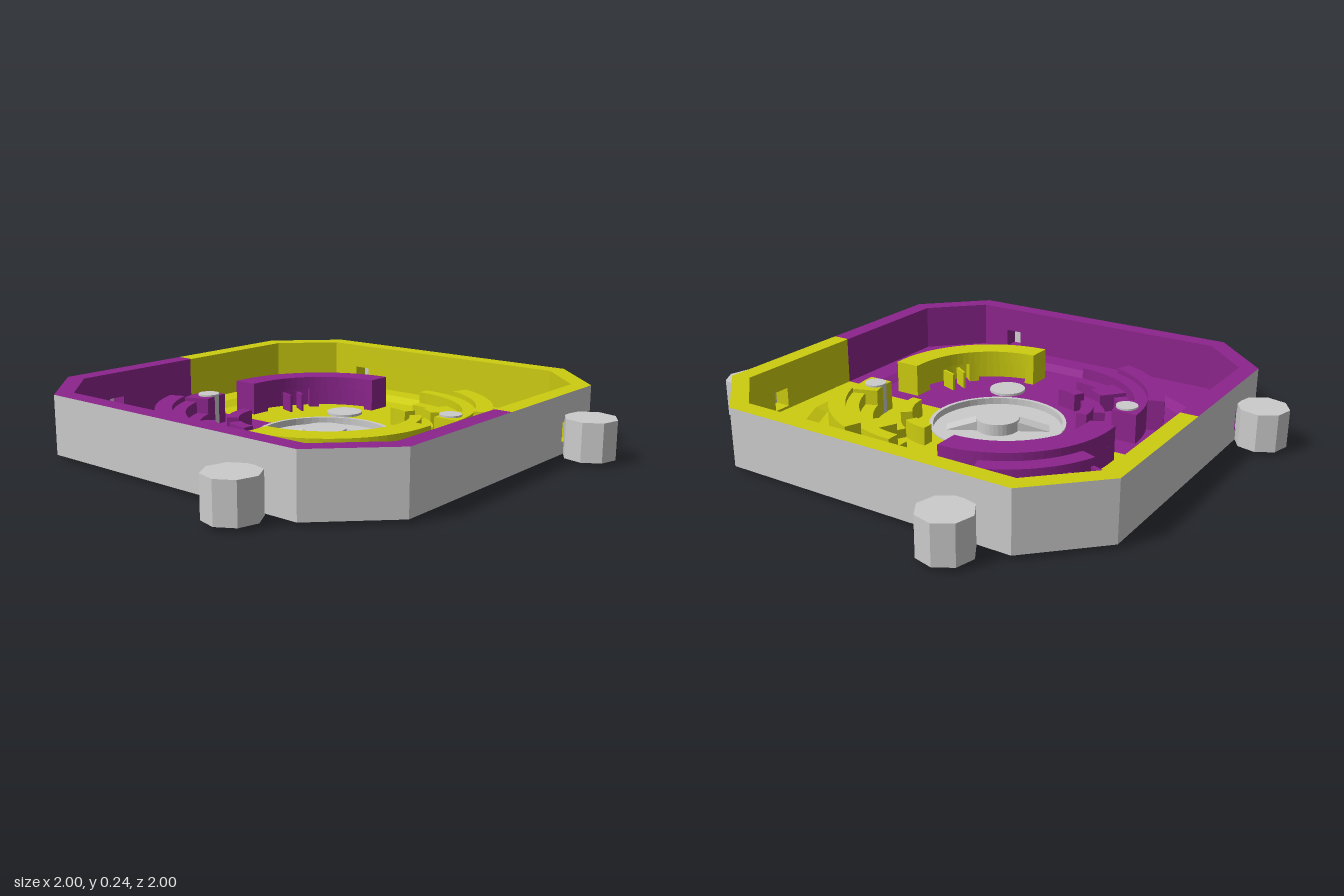
import * as THREE from 'three';

const mat = (color) => new THREE.MeshStandardMaterial({ color, flatShading: true, side: THREE.DoubleSide });
const grey = mat(0xcccccc), yellow = mat(0xcccc10), purple = mat(0x8c248c);
const RAD = Math.PI / 180;
const DISC = 0.265;

// Plan shapes use x right and y towards the back (-z).
const octagon = (a, b) => [[a, 0], [a, b], [b, a], [-b, a], [-a, b], [-a, 0]];
const OUTER = octagon(0.815, 0.58);
const INNER = octagon(0.748, 0.555);
const BASE = octagon(0.76, 0.56);
const BOWL = [[0.65, 0], [0.67, 0.2], [0.665, 0.3], [0.57, 0.5], [0.28, 0.675], [0.19, 0.655],
  [-0.27, 0.66], [-0.38, 0.61], [-0.53, 0.5], [-0.62, 0.4], [-0.65, 0.2], [-0.65, 0]];
const FLOOR = BOWL.map(([x, y]) => [x * 0.94, y * 0.94]);
const HOLE = Array.from({ length: 25 }, (_, i) =>
  [DISC * Math.cos(i * Math.PI / 24), DISC * Math.sin(i * Math.PI / 24)]);

function add(group, name, geometry, material) {
  const m = new THREE.Mesh(geometry, material);
  m.name = name;
  group.add(m);
  return m;
}

const toShape = (pts) => new THREE.Shape(pts.map(([x, y]) => new THREE.Vector2(x, y)));

// Flat half ring between two half outlines
function halfRing(group, name, outer, inner, y, material) {
  const g = new THREE.ShapeGeometry(toShape([...outer, ...[...inner].reverse()]));
  add(group, name, g.rotateX(-Math.PI / 2).translate(0, y, 0), material);
}

// Sloping strip between two outlines with the same number of points
function strip(group, name, a, ya, b, yb, material) {
  const pos = [], idx = [];
  a.forEach(([x, y], i) => {
    pos.push(x, ya, -y, b[i][0], yb, -b[i][1]);
    if (i) idx.push(2 * i - 2, 2 * i, 2 * i - 1, 2 * i - 1, 2 * i, 2 * i + 1);
  });
  const g = new THREE.BufferGeometry();
  g.setAttribute('position', new THREE.Float32BufferAttribute(pos, 3));
  g.setIndex(idx);
  g.computeVertexNormals();
  add(group, name, g, material);
}

// Upright wall panels along an outline, with a small window at two of them
function walls(group, name, outline, y0, y1, depth, material) {
  const windows = { 0: 0.4, 2: outline[2][0] + 0.4 };
  for (let i = 0; i < outline.length - 1; i++) {
    const [px, py] = outline[i], [qx, qy] = outline[i + 1];
    const len = Math.hypot(qx - px, qy - py);
    const s = toShape([[0, y0], [len, y0], [len, y1], [0, y1]]);
    if (i in windows) {
      const w = windows[i];
      s.holes.push(toShape([[w - 0.035, 0.06], [w - 0.035, 0.135], [w + 0.035, 0.135], [w + 0.035, 0.06]]));
    }
    const g = depth ? new THREE.ExtrudeGeometry(s, { depth, bevelEnabled: false }) : new THREE.ShapeGeometry(s);
    const m = add(group, name, g, material);
    m.position.set(px, 0, -py);
    m.rotation.y = Math.atan2(qy - py, qx - px);
  }
}

// Block shaped as part of a ring, angles in degrees
function sector(group, name, [cx, cy], r0, r1, a0, a1, y0, y1, material) {
  const s = new THREE.Shape();
  s.absarc(cx, cy, r1, a0 * RAD, a1 * RAD, false);
  s.absarc(cx, cy, r0, a1 * RAD, a0 * RAD, true);
  s.closePath();
  const g = new THREE.ExtrudeGeometry(s, { depth: y1 - y0, bevelEnabled: false, curveSegments: 10 });
  add(group, name, g.rotateX(-Math.PI / 2).translate(0, y0, 0), material);
}

function cylinder(group, name, x, z, r, y0, y1, sides, material) {
  const m = add(group, name, new THREE.CylinderGeometry(r, r, y1 - y0, sides), material);
  m.position.set(x, (y0 + y1) / 2, z);
  return m;
}

// Back half of the tray; the front half is the same turned round with colours swapped
function createHalf(main, accent) {
  const h = new THREE.Group();

  // Shell
  walls(h, 'outerWall', OUTER, 0.015, 0.238, 0, grey);
  walls(h, 'innerWall', INNER, 0.03, 0.236, 0.064, main);
  halfRing(h, 'rim', OUTER, INNER, 0.238, main);
  halfRing(h, 'bottomEdge', OUTER, BASE, 0.015, grey);
  halfRing(h, 'underside', BASE, HOLE, 0.015, main);
  halfRing(h, 'ledge', INNER, BOWL, 0.05, main);
  strip(h, 'bowlSlope', BOWL, 0.05, FLOOR, 0.03, main);
  halfRing(h, 'floor', FLOOR, HOLE, 0.03, main);

  // Feet outside the wall
  for (const [x, z] of [[0.905, -0.405], [-0.405, -0.905]]) {
    cylinder(h, 'foot', x, z, 0.097, 0.015, 0.16, 8, grey).rotation.y = 0.15;
  }

  // Curved holder in the other colour
  const L = [-0.105, 0.105];
  sector(h, 'holderWall', L, 0.38, 0.43, 90, 180, 0.03, 0.16, accent);
  sector(h, 'holderCanopy', L, 0.33, 0.38, 90, 180, 0.11, 0.16, accent);
  for (const a of [90, 132, 173]) sector(h, 'holderLeg', L, 0.33, 0.38, a, a + 7, 0.03, 0.11, accent);
  sector(h, 'holderTab', L, 0.43, 0.495, 110, 160, 0.03, 0.13, accent);
  for (const a of [147, 158]) {
    sector(h, 'outerPin', L, 0.43, 0.57, a, a + 1.5, 0.05, 0.1, accent);
    sector(h, 'innerPin', L, 0.26, 0.33, a, a + 2, 0.03, 0.1, accent);
  }
  // Holder pad that continues past the arc
  add(h, 'holderEnd', new THREE.BoxGeometry(0.1, 0.13, 0.045), accent).position.set(-0.485, 0.095, -0.085);

  // Stepped curved holder in the main colour
  const R = [0.105, 0.105];
  sector(h, 'stepWall', R, 0.38, 0.43, 0, 90, 0.03, 0.13, main);
  sector(h, 'stepShelf', R, 0.33, 0.38, 0, 90, 0.03, 0.085, main);
  sector(h, 'stepTab', R, 0.43, 0.495, 20, 70, 0.03, 0.15, main);
  sector(h, 'stepBlock', R, 0.33, 0.43, 0, 20, 0.03, 0.145, main);
  sector(h, 'stepBlock', R, 0.27, 0.43, 50, 66, 0.03, 0.1, main);
  sector(h, 'tooth', R, 0.18, 0.225, 0, 42, 0.03, 0.1, main);
  sector(h, 'tooth', R, 0.18, 0.225, 62, 90, 0.03, 0.1, main);
  sector(h, 'toothStep', R, 0.225, 0.27, 30, 62, 0.03, 0.065, main);

  // Grey pins and buttons
  cylinder(h, 'pin', 0.47, -0.16, 0.042, 0.03, 0.152, 24, grey);
  cylinder(h, 'button', -0.16, -0.32, 0.073, 0.02, 0.04, 28, grey);

  // Fine seam under the base
  add(h, 'seamBack', new THREE.BoxGeometry(0.746, 0.003, 0.006), grey).position.set(0, 0.0145, -0.37);
  add(h, 'seamSide', new THREE.BoxGeometry(0.006, 0.003, 0.746), grey).position.set(0.37, 0.0145, 0);
  return h;
}

export function createModel() {
  const model = new THREE.Group();
  model.name = 'tray';

  const back = createHalf(yellow, purple);
  back.name = 'backHalf';
  const front = createHalf(purple, yellow);
  front.name = 'frontHalf';
  front.rotation.y = Math.PI;
  model.add(back, front);

  // Turning lid in the middle
  const lid = new THREE.Group();
  lid.name = 'lid';
  cylinder(lid, 'lidPlate', 0, 0, DISC, 0, 0.01, 48, grey);
  const edge = [[0.25, 0.005], [0.25, 0.036], [DISC, 0.036], [DISC, 0.005]].map(([r, y]) => new THREE.Vector2(r, y));
  add(lid, 'lidEdge', new THREE.LatheGeometry(edge, 48), grey);
  cylinder(lid, 'hub', 0, 0, 0.085, 0.01, 0.055, 32, grey);
  const ramp = toShape([[-0.2, 0.01], [0.2, 0.01], [0.06, 0.052], [-0.06, 0.052]]);
  const grip = add(lid, 'grip', new THREE.ExtrudeGeometry(ramp, { depth: 0.065, bevelEnabled: false })
    .translate(0, 0, -0.0325), grey);
  grip.rotation.y = 30 * RAD;
  model.add(lid);
  return model;
}
